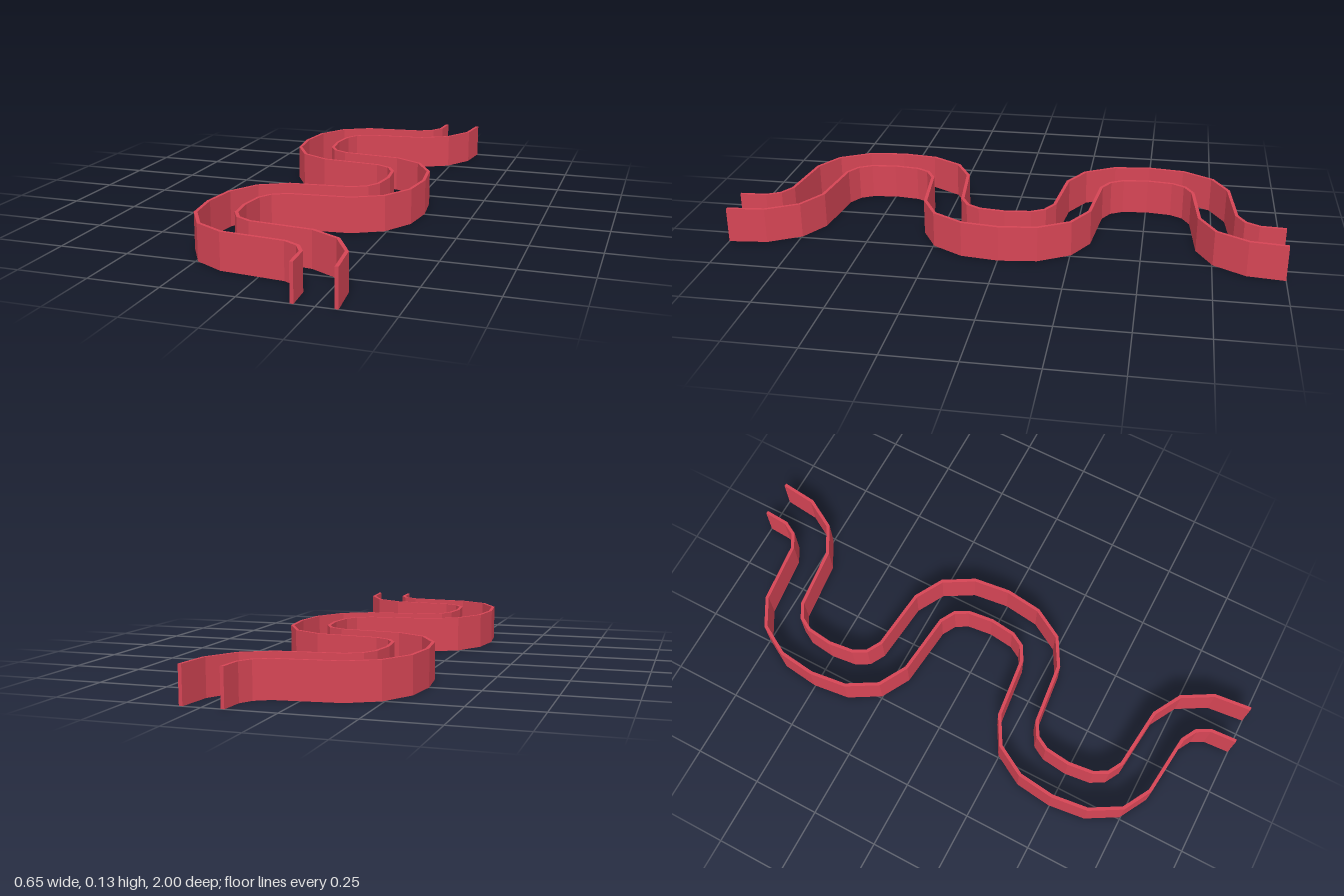
import * as THREE from 'three';

const HEIGHT = 0.13;
const THICKNESS = 0.012;
const SHIFT = -0.003;

// Half a wave, from the apex of the wide bend to the apex of the tight bend: [x, z]
const HALF_WAVE = [
  [0.3185, 0], [0.302, 0.135], [0.238, 0.246], [0.135, 0.304],
  [-0.092, 0.328], [-0.145, 0.358], [-0.172, 0.406], [-0.183, 0.5],
];

// Centre line of one wall, trimmed square at z = -1 and z = 1
function centreLine(side) {
  const phase = (side > 0 ? 0 : 0.5) + SHIFT;
  const points = [];
  for (let k = -2; k <= 2; k++) {
    const forward = HALF_WAVE.map(([x, z]) => [x, k + z]);
    const back = HALF_WAVE.slice(1, -1).reverse().map(([x, z]) => [x, k + 1 - z]);
    for (const [x, z] of [...forward, ...back]) {
      if (Math.abs(z + phase) < 0.98) points.push(new THREE.Vector2(side * x, z + phase));
    }
  }
  const endX = side > 0 ? 0.3165 : 0.178;
  return [new THREE.Vector2(endX, -1), ...points, new THREE.Vector2(endX, 1)];
}

// Thicken the line with mitred corners into a closed outline
function ribbonShape(line) {
  const left = [], right = [];
  line.forEach((p, i) => {
    let offset;
    if (i === 0 || i === line.length - 1) {
      offset = new THREE.Vector2(1, 0).multiplyScalar(THICKNESS / 2);
    } else {
      const a = p.clone().sub(line[i - 1]).normalize();
      const b = line[i + 1].clone().sub(p).normalize();
      const tangent = a.clone().add(b).normalize();
      offset = new THREE.Vector2(tangent.y, -tangent.x)
        .multiplyScalar(THICKNESS / 2 / tangent.dot(a));
    }
    left.push(p.clone().add(offset));
    right.unshift(p.clone().sub(offset));
  });
  // The shape's y runs along -z, so that the extrusion can be turned upright
  return new THREE.Shape([...left, ...right].map((p) => new THREE.Vector2(p.x, -p.y)));
}

export function createModel() {
  const group = new THREE.Group();
  group.name = 'windingChannel';
  const material = new THREE.MeshStandardMaterial({ color: 0xd64555, flatShading: true });

  // Two parallel winding walls
  for (const [name, side] of [['leftWall', 1], ['rightWall', -1]]) {
    const geometry = new THREE.ExtrudeGeometry(ribbonShape(centreLine(side)), {
      depth: HEIGHT, bevelEnabled: false,
    });
    geometry.rotateX(-Math.PI / 2);
    const wall = new THREE.Mesh(geometry, material);
    wall.name = name;
    group.add(wall);
  }
  return group;
}
